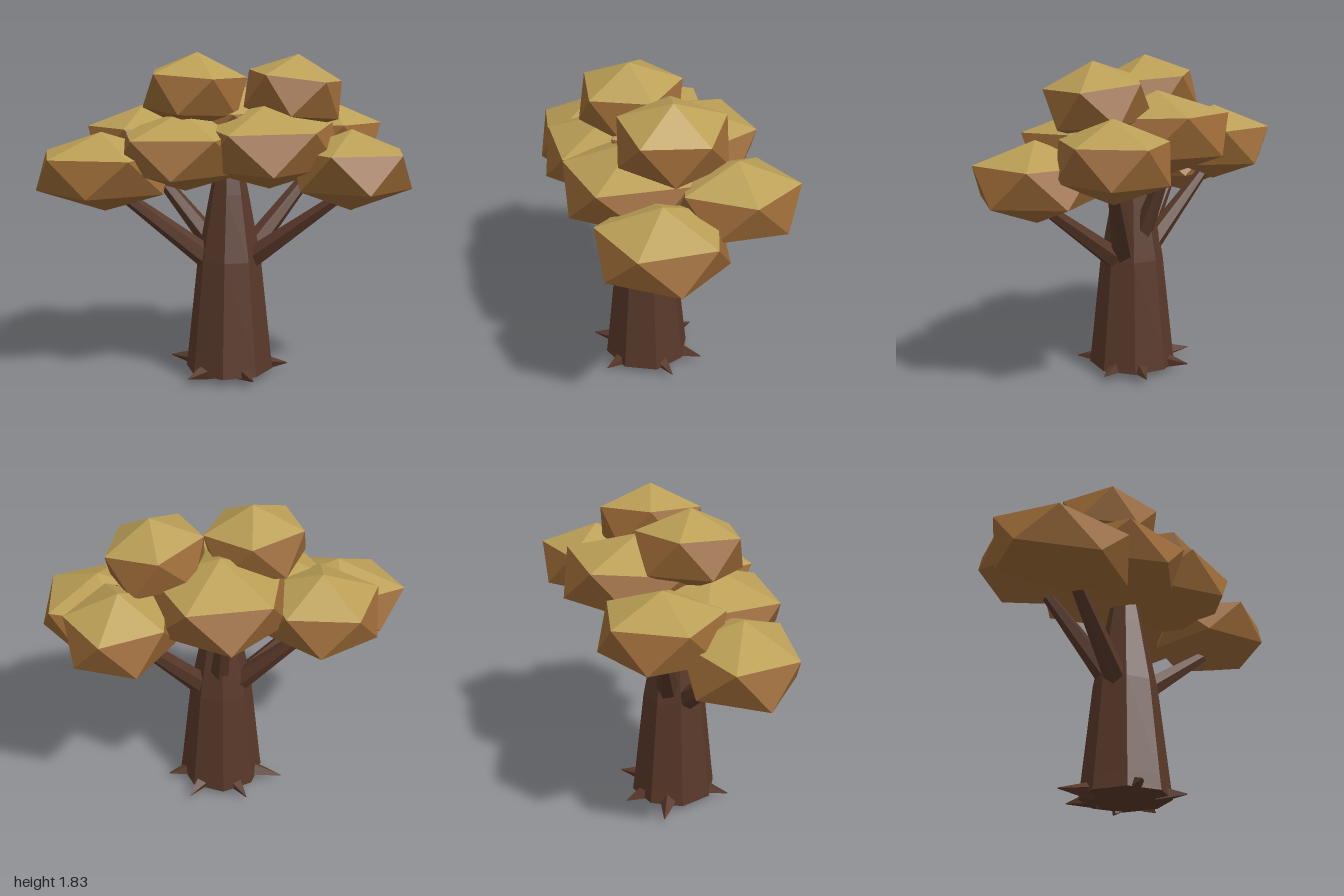
import * as THREE from 'three';

const paint = (color) => new THREE.MeshStandardMaterial({ color, flatShading: true });
const bark = paint(0x583829);
const leafTop = paint(0xbb9f56);
const leafSide = paint(0x9a6936);

// Tapered limb between two points
function limb(name, from, to, r0, r1, sides) {
  const a = new THREE.Vector3(...from), b = new THREE.Vector3(...to);
  const dir = b.clone().sub(a);
  const mesh = new THREE.Mesh(new THREE.CylinderGeometry(r1, r0, dir.length(), sides), bark);
  mesh.position.copy(a).add(b).multiplyScalar(0.5);
  mesh.quaternion.setFromUnitVectors(new THREE.Vector3(0, 1, 0), dir.normalize());
  mesh.name = name;
  return mesh;
}

// Squashed icosahedron standing on a corner; the five upper faces are lighter
function leafClump(name, [x, y, z], [rx, ry, rz], yaw, tiltX = 0, tiltZ = 0) {
  const geo = new THREE.IcosahedronGeometry(1, 0);
  geo.rotateX(-Math.atan((1 + Math.sqrt(5)) / 2));
  geo.rotateY(THREE.MathUtils.degToRad(yaw));
  const p = geo.attributes.position;
  const cap = [], body = [];
  for (let i = 0; i < p.count; i += 3) {
    const isCap = p.getY(i) + p.getY(i + 1) + p.getY(i + 2) > 1.5;
    for (let k = i; k < i + 3; k++) {
      (isCap ? cap : body).push(p.getX(k) * rx, p.getY(k) * ry, p.getZ(k) * rz);
    }
  }
  const group = new THREE.Group();
  group.name = name;
  for (const [part, verts, mat] of [['crown', cap, leafTop], ['underside', body, leafSide]]) {
    const g = new THREE.BufferGeometry();
    g.setAttribute('position', new THREE.Float32BufferAttribute(verts, 3));
    g.computeVertexNormals();
    const mesh = new THREE.Mesh(g, mat);
    mesh.name = part;
    group.add(mesh);
  }
  group.position.set(x, y, z);
  group.rotation.set(tiltX, 0, tiltZ);
  return group;
}

export function createModel() {
  const tree = new THREE.Group();
  tree.name = 'tree';

  // Trunk: eight-sided, flared at the foot and tapering into the crown
  const profile = [[0, 0], [0.12, 0.01], [0.25, 0.04], [0.24, 0.12], [0.18, 0.68], [0.11, 1.05], [0.02, 1.5]]
    .map(([r, y]) => new THREE.Vector2(r, y));
  const trunk = new THREE.Mesh(new THREE.LatheGeometry(profile, 8, 0.2), bark);
  trunk.name = 'trunk';
  trunk.position.set(-0.005, 0, 0.08);
  tree.add(trunk);

  // Roots: short spikes around the foot
  const rootTips = [[-0.39, 0.02], [-0.13, 0.4], [0.22, 0.32], [0.3, -0.06], [0.14, -0.24], [-0.2, -0.2]];
  rootTips.forEach(([x, z]) => {
    tree.add(limb('root', [x * 0.5, 0.06, 0.08 + (z - 0.08) * 0.5], [x, 0.05, z], 0.055, 0.003, 4));
  });

  // Branches: from inside the trunk out to the leaf clumps
  const branches = [
    [[0.06, 0.64, 0.07], [0.68, 1.1, 0.04]],
    [[-0.06, 0.64, 0.12], [-0.6, 1.12, 0.4]],
    [[-0.05, 0.68, 0.05], [-0.54, 1.2, 0]],
    [[0.07, 0.68, 0.05], [0.44, 1.25, -0.33]],
    [[0, 0.72, 0.04], [-0.06, 1.3, -0.2]],
  ];
  branches.forEach(([a, b]) => tree.add(limb('branch', a, b, 0.07, 0.028, 6)));

  // Leaf clumps: centre, radii, yaw in degrees, tilt
  const clumps = [
    ['topRightClump', [-0.18, 1.61, 0.15], [0.315, 0.22, 0.325], 41, 0.03, -0.08],
    ['topLeftClump', [0.325, 1.6, -0.05], [0.305, 0.22, 0.33], 54, 0, -0.13],
    ['rightClump', [-0.56, 1.31, 0], [0.36, 0.22, 0.365], 5],
    ['frontRightClump', [-0.63, 1.18, 0.39], [0.435, 0.22, 0.345], 43, 0.06, 0],
    ['frontClump', [-0.2, 1.295, 0.26], [0.42, 0.22, 0.435], 48, 0.06, 0],
    ['frontLeftClump', [0.24, 1.325, 0.125], [0.425, 0.235, 0.45], 58, 0.06, 0],
    ['leftClump', [0.675, 1.2, 0.02], [0.365, 0.22, 0.38], 67],
    ['backLeftClump', [0.46, 1.33, -0.37], [0.32, 0.22, 0.36], 30],
    ['backClump', [-0.03, 1.41, -0.13], [0.42, 0.24, 0.455], 18, 0.05, 0],
  ];
  clumps.forEach((c) => tree.add(leafClump(...c)));
  return tree;
}
